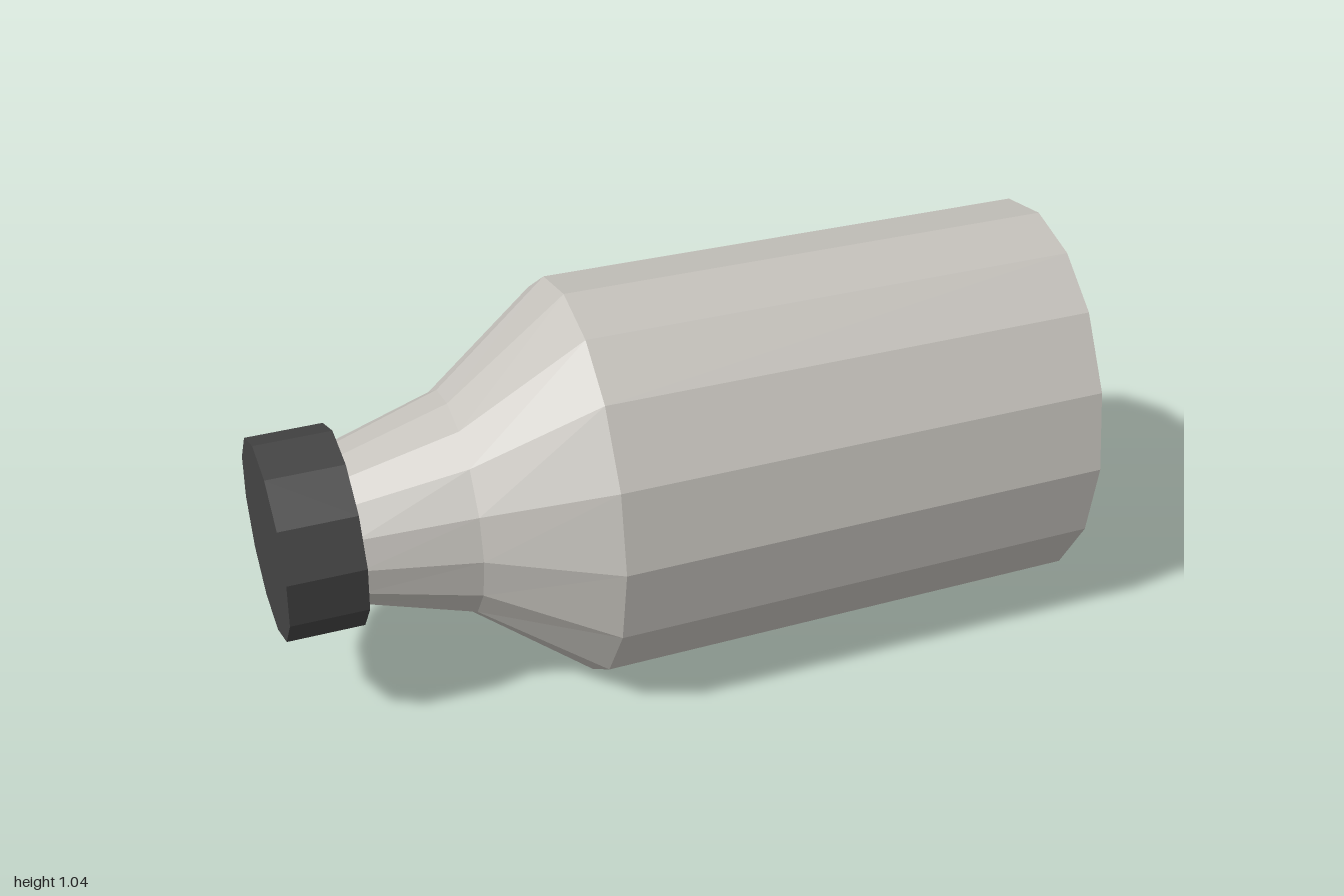
import * as THREE from 'three';

const AXIS_Y = 0.521;

// Sixteen-sided ring, angles measured from +z towards +y
const quarter = [0, 23.6, 47.6, 68.5].map((d) => THREE.MathUtils.degToRad(d));
const angles = [
  ...quarter,
  Math.PI / 2,
  ...quarter.slice(1).reverse().map((a) => Math.PI - a),
  ...quarter.map((a) => a + Math.PI),
  Math.PI * 1.5,
  ...quarter.slice(1).reverse().map((a) => 2 * Math.PI - a),
];

// Lofts elliptical sections [x, radiusY, radiusZ] along x, closing both ends
function loft(sections) {
  const n = angles.length;
  const pos = [];
  const index = [];
  for (const [x, ry, rz] of sections) {
    for (const a of angles) pos.push(x, AXIS_Y + ry * Math.sin(a), rz * Math.cos(a));
  }
  for (let s = 0; s < sections.length - 1; s++) {
    for (let i = 0; i < n; i++) {
      const j = (i + 1) % n;
      const a = s * n + i, b = s * n + j;
      index.push(a, a + n, b + n, a, b + n, b);
    }
  }
  const last = (sections.length - 1) * n;
  for (let i = 1; i < n - 1; i++) {
    index.push(0, i, i + 1);
    index.push(last, last + i + 1, last + i);
  }
  const geometry = new THREE.BufferGeometry();
  geometry.setAttribute('position', new THREE.Float32BufferAttribute(pos, 3));
  geometry.setIndex(index);
  const flat = geometry.toNonIndexed();
  flat.computeVertexNormals();
  return flat;
}

export function createModel() {
  const group = new THREE.Group();
  group.name = 'bottle';
  const bodyGrey = new THREE.MeshStandardMaterial({ color: 0xc4c1bb, flatShading: true });
  bodyGrey.name = 'light grey';
  const capGrey = new THREE.MeshStandardMaterial({ color: 0x444444, flatShading: true });
  capGrey.name = 'dark grey';

  // Neck, shoulder and slightly tapering body
  const body = new THREE.Mesh(
    loft([
      [-0.82, 0.19, 0.2],
      [-0.54, 0.281, 0.266],
      [-0.245, 0.519, 0.432],
      [1, 0.507, 0.42],
    ]),
    bodyGrey
  );
  body.name = 'bottleBody';
  group.add(body);

  // Twelve-sided screw cap, its facets turned a little about the axis
  const capGeometry = new THREE.CylinderGeometry(0.247, 0.247, 0.19, 12);
  capGeometry.rotateZ(Math.PI / 2);
  capGeometry.rotateX(THREE.MathUtils.degToRad(-8));
  const cap = new THREE.Mesh(capGeometry, capGrey);
  cap.name = 'cap';
  cap.position.set(-0.905, AXIS_Y, 0);
  group.add(cap);

  return group;
}
